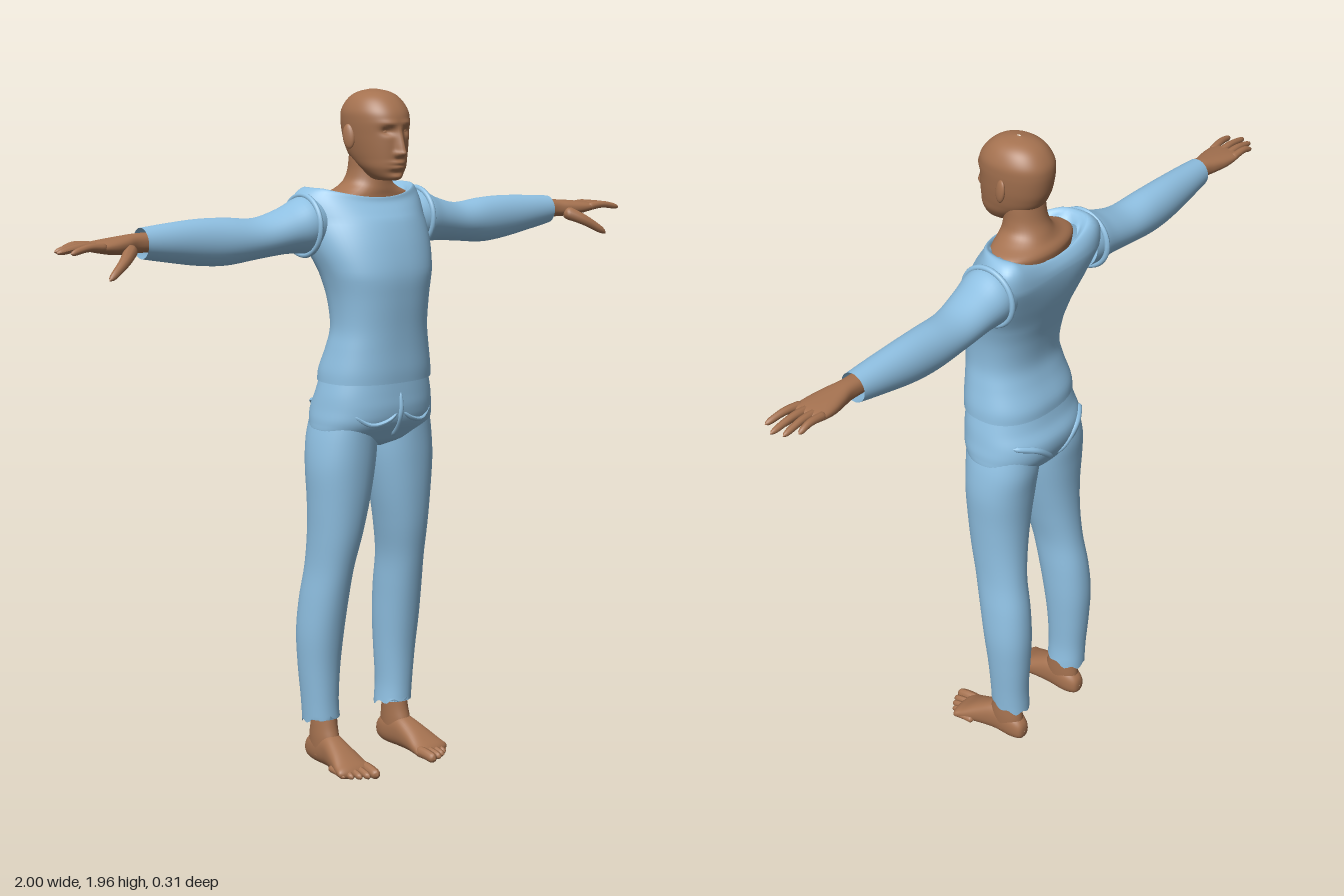
import * as THREE from 'three';

const skin = new THREE.MeshStandardMaterial({ color: 0xa57250 });
skin.name = 'skin';
const cloth = new THREE.MeshStandardMaterial({ color: 0x8fc0e2, side: THREE.DoubleSide });
cloth.name = 'blueCloth';

const cr = (a, b, c, d, t) =>
  0.5 * (2 * b + (c - a) * t + (2 * a - 5 * b + 4 * c - d) * t * t + (3 * b - a - 3 * c + d) * t * t * t);
const gauss = (v, centre, width) => Math.exp(-(((v - centre) / width) ** 2));
const spow = (v, e) => Math.sign(v) * Math.abs(v) ** e;

// Smooth loft. A section is [position, min1, max1, min2, max2];
// the cross axes follow cyclically: y -> (z, x), x -> (y, z), z -> (x, y).
function loft(axis, sections, { power = 2, around = 40, sub = 5, warp } = {}) {
  const order = { y: [2, 0], x: [1, 2], z: [0, 1] }[axis];
  const main = { x: 0, y: 1, z: 2 }[axis];
  const last = sections.length - 1, rows = last * sub;
  const pos = [], index = [];
  for (let i = 0; i <= rows; i++) {
    const k = Math.min(Math.floor(i / sub), last - 1), t = i / sub - k;
    const at = (n) => sections[Math.max(0, Math.min(last, n))];
    const s = sections[0].map((_, c) => cr(at(k - 1)[c], at(k)[c], at(k + 1)[c], at(k + 2)[c], t));
    for (let j = 0; j < around; j++) {
      const ang = (j / around) * Math.PI * 2, p = [0, 0, 0];
      p[main] = s[0];
      p[order[0]] = (s[1] + s[2]) / 2 + ((s[2] - s[1]) / 2) * spow(Math.cos(ang), 2 / power);
      p[order[1]] = (s[3] + s[4]) / 2 + ((s[4] - s[3]) / 2) * spow(Math.sin(ang), 2 / power);
      if (warp) warp(p, i / rows, ang);
      pos.push(...p);
      if (i < rows) {
        const a = i * around + j, b = i * around + ((j + 1) % around);
        index.push(a, b, a + around, b, b + around, a + around);
      }
    }
  }
  const g = new THREE.BufferGeometry();
  g.setAttribute('position', new THREE.Float32BufferAttribute(pos, 3));
  g.setIndex(index);
  g.computeVertexNormals();
  return g;
}

// Vertical loft symmetric in x: [y, back z, front z, half width]
const body = (list, options) => loft('y', list.map(([y, b, f, w]) => [y, b, f, -w, w]), options);

// Tapered, round-ended tube for fingers, toes and folds
function digit(points, r0, r1, flat = 1) {
  const curve = new THREE.CatmullRomCurve3(points.map((p) => new THREE.Vector3(...p)));
  const seg = 18, radial = 10;
  const g = new THREE.TubeGeometry(curve, seg, 1, radial);
  const p = g.attributes.position, v = new THREE.Vector3();
  for (let i = 0; i <= seg; i++) {
    const t = i / seg, c = curve.getPointAt(t);
    const end = Math.sqrt(Math.max(0.0004, 1 - Math.max(0, (t - 0.8) / 0.2) ** 2));
    const start = Math.sqrt(Math.max(0.0004, 1 - Math.max(0, (0.15 - t) / 0.15) ** 2));
    const r = (r0 + (r1 - r0) * t) * end * start;
    for (let j = 0; j <= radial; j++) {
      const n = i * (radial + 1) + j;
      v.fromBufferAttribute(p, n).sub(c).multiplyScalar(r);
      v.y *= flat;
      v.add(c);
      p.setXYZ(n, v.x, v.y, v.z);
    }
  }
  g.computeVertexNormals();
  return g;
}

function mirrored(geometry) {
  const g = geometry.clone().scale(-1, 1, 1), a = g.index.array;
  for (let i = 0; i < a.length; i += 3) [a[i], a[i + 1]] = [a[i + 1], a[i]];
  g.computeVertexNormals();
  return g;
}

export function createModel() {
  const model = new THREE.Group();
  model.name = 'standingFigure';
  const add = (name, geometry, material) => {
    const m = new THREE.Mesh(geometry, material);
    m.name = name;
    model.add(m);
  };
  const pair = (name, geometry, material) => {
    add(name + 'Left', geometry, material);
    add(name + 'Right', mirrored(geometry), material);
  };

  // Head with a sculpted face
  add('head', body([
    [1.708, 0.05, 0.07, 0.002], [1.711, 0.01, 0.1, 0.032], [1.74, -0.03, 0.112, 0.056], [1.77, -0.07, 0.115, 0.067],
    [1.8, -0.088, 0.116, 0.074], [1.83, -0.097, 0.116, 0.079], [1.87, -0.102, 0.117, 0.083], [1.9, -0.097, 0.108, 0.081],
    [1.93, -0.075, 0.083, 0.065], [1.948, -0.045, 0.052, 0.04], [1.957, -0.004, 0.008, 0.003],
  ], {
    around: 96, sub: 8, power: 2.15,
    warp: (p) => {
      const [x, y, z] = p;
      if (z < 0.03) return;
      const ax = Math.abs(x);
      const nose = y > 1.785 ? Math.max(0, 1 - (y - 1.785) / 0.075) : gauss(y, 1.785, 0.009);
      p[2] += 0.028 * nose * gauss(x, 0, 0.011)
        + 0.008 * gauss(ax, 0.012, 0.007) * gauss(y, 1.782, 0.008)
        - 0.013 * gauss(ax, 0.032, 0.017) * gauss(y, 1.845, 0.011)
        + 0.004 * gauss(ax, 0.03, 0.025) * gauss(y, 1.866, 0.008)
        + 0.008 * gauss(x, 0, 0.022) * (gauss(y, 1.758, 0.006) + gauss(y, 1.744, 0.006))
        - 0.004 * gauss(x, 0, 0.025) * gauss(y, 1.731, 0.006)
        + 0.006 * gauss(x, 0, 0.022) * gauss(y, 1.717, 0.008);
    },
  }), skin);
  pair('eye', new THREE.SphereGeometry(0.011, 16, 12).scale(1.1, 0.7, 0.8).translate(0.032, 1.843, 0.089), skin);
  pair('ear', new THREE.SphereGeometry(1, 18, 14).scale(0.009, 0.034, 0.019).rotateY(-0.35)
    .rotateX(-0.15).translate(0.084, 1.828, -0.004), skin);

  // Neck and the bare shoulders inside the collar
  add('neck', body([
    [1.58, -0.11, 0.06, 0.14], [1.64, -0.122, 0.045, 0.148], [1.662, -0.12, 0.042, 0.142], [1.68, -0.105, 0.042, 0.1],
    [1.7, -0.094, 0.04, 0.071], [1.73, -0.08, 0.037, 0.061], [1.77, -0.072, 0.035, 0.059], [1.8, -0.07, 0.03, 0.055],
  ]), skin);

  // Shirt body with a collar that dips at front and back
  add('shirt', body([
    [1.145, -0.122, 0.128, 0.171], [1.18, -0.118, 0.13, 0.168], [1.24, -0.095, 0.13, 0.155], [1.3, -0.083, 0.132, 0.145],
    [1.38, -0.095, 0.137, 0.151], [1.45, -0.117, 0.138, 0.167], [1.52, -0.138, 0.123, 0.189], [1.58, -0.148, 0.102, 0.203],
    [1.63, -0.146, 0.077, 0.207], [1.665, -0.138, 0.058, 0.198], [1.687, -0.128, 0.052, 0.17], [1.673, -0.122, 0.046, 0.137],
  ], {
    power: 2.35, around: 64,
    warp: (p, t, ang) => {
      const high = Math.min(1, Math.max(0, (p[1] - 1.45) / 0.15));
      p[2] -= 0.045 * high * (p[0] / 0.2) ** 2;
      const top = Math.max(0, (p[1] - 1.6) / 0.08);
      p[1] -= top * (p[2] < -0.05 ? 0.042 : 0.025) * Math.max(0, 1 - (p[0] / 0.16) ** 2);
      if (t > 0.98) p[1] += 0.004 * Math.sin(ang * 9);
    },
  }), cloth);

  // Sleeves and armhole seams
  pair('sleeve', loft('x', [
    [0.17, 1.51, 1.66, -0.135, 0.015], [0.21, 1.507, 1.664, -0.14, 0.022], [0.27, 1.51, 1.638, -0.136, 0.012],
    [0.36, 1.502, 1.615, -0.132, -0.003], [0.46, 1.492, 1.622, -0.13, -0.013], [0.55, 1.498, 1.624, -0.126, -0.02],
    [0.65, 1.515, 1.619, -0.116, -0.024], [0.73, 1.53, 1.613, -0.106, -0.028],
  ]), cloth);
  pair('armholeSeam', new THREE.TorusGeometry(0.083, 0.008, 10, 48).rotateY(Math.PI / 2)
    .translate(0.203, 1.585, -0.06), cloth);

  // Hands
  pair('palm', loft('x', [
    [0.69, 1.548, 1.6, -0.092, -0.036], [0.75, 1.548, 1.6, -0.09, -0.036], [0.79, 1.548, 1.597, -0.098, -0.024],
    [0.83, 1.55, 1.593, -0.106, -0.015], [0.87, 1.557, 1.588, -0.108, -0.012], [0.892, 1.563, 1.583, -0.1, -0.018],
    [0.898, 1.572, 1.574, -0.06, -0.055],
  ], { power: 2.4 }), skin);
  [[-0.096, -0.1, 0.957], [-0.073, -0.077, 0.988], [-0.049, -0.046, 1.0], [-0.024, -0.008, 0.98]].forEach(([z0, z1, tip], i) => {
    pair('finger' + (i + 1), digit([[0.86, 1.573, z0], [0.92, 1.578, (z0 + z1) / 2], [tip, 1.567, z1]], 0.0125, 0.008), skin);
  });
  pair('thumb', digit([[0.775, 1.565, -0.04], [0.82, 1.54, 0.0], [0.86, 1.515, 0.02], [0.89, 1.495, 0.03]], 0.021, 0.009), skin);

  // Trouser seat, gathered over the hips
  add('trouserSeat', body([
    [0.95, -0.06, 0.03, 0.01], [0.97, -0.112, 0.07, 0.12], [0.995, -0.13, 0.092, 0.183], [1.03, -0.145, 0.117, 0.189],
    [1.07, -0.146, 0.125, 0.183], [1.11, -0.128, 0.124, 0.176], [1.15, -0.117, 0.122, 0.166],
  ], { power: 2.3, around: 56 }), cloth);

  // Cloth folds below the waist, front and back
  pair('frontFold', digit([[0.14, 1.06, 0.082], [0.09, 1.03, 0.107], [0.04, 1.04, 0.12], [0.01, 1.06, 0.122]], 0.007, 0.006), cloth);
  add('flyFold', digit([[0, 1.12, 0.122], [0, 1.06, 0.124], [0, 0.985, 0.085]], 0.005, 0.011), cloth);
  pair('backFold', digit([[0.15, 1.08, -0.1], [0.09, 1.06, -0.136], [0.04, 1.02, -0.138], [0.012, 0.99, -0.125]], 0.009, 0.009), cloth);

  // Trouser legs with ragged cuffs
  pair('trouserLeg', loft('y', [
    [0.135, -0.136, -0.018, 0.084, 0.186], [0.2, -0.136, -0.018, 0.088, 0.191], [0.3, -0.142, -0.012, 0.083, 0.2],
    [0.4, -0.145, 0.002, 0.077, 0.206], [0.5, -0.137, 0.02, 0.073, 0.202], [0.6, -0.12, 0.04, 0.068, 0.194],
    [0.7, -0.111, 0.06, 0.048, 0.195], [0.8, -0.11, 0.072, 0.026, 0.2], [0.9, -0.117, 0.08, 0.008, 0.205],
    [0.98, -0.125, 0.085, 0.002, 0.197], [1.05, -0.12, 0.09, 0.005, 0.18],
  ], {
    power: 2.15,
    warp: (p, t, ang) => {
      if (t < 0.01) p[1] += 0.014 * Math.cos(ang) + 0.006 * Math.sin(ang * 7);
    },
  }), cloth);

  // Ankles, feet and toes
  pair('ankle', loft('y', [
    [0.03, -0.122, 0.0, 0.102, 0.168], [0.08, -0.118, -0.005, 0.1, 0.17], [0.12, -0.112, -0.016, 0.1, 0.168],
    [0.17, -0.112, -0.022, 0.1, 0.165], [0.26, -0.12, -0.03, 0.1, 0.17],
  ]), skin);
  pair('foot', loft('z', [
    [-0.133, 0.134, 0.136, 0.034, 0.036], [-0.126, 0.113, 0.157, 0.01, 0.065], [-0.09, 0.1, 0.168, 0.0, 0.092],
    [-0.03, 0.1, 0.171, 0.0, 0.1], [0.03, 0.096, 0.186, 0.0, 0.076], [0.075, 0.09, 0.199, 0.0, 0.05],
    [0.1, 0.09, 0.199, 0.003, 0.036], [0.115, 0.12, 0.15, 0.012, 0.02],
  ], { power: 2.3 }), skin);
  [[0.106, 0.156, 0.017], [0.132, 0.15, 0.012], [0.153, 0.139, 0.0115], [0.172, 0.124, 0.011], [0.189, 0.106, 0.0105]]
    .forEach(([x, tip, r], i) => {
      pair('toe' + (i + 1), digit([[x - 0.002, 0.022, tip - 0.075], [x, 0.02, tip - 0.035], [x + 0.002, 0.013, tip]], r, r * 0.85), skin);
    });

  return model;
}
